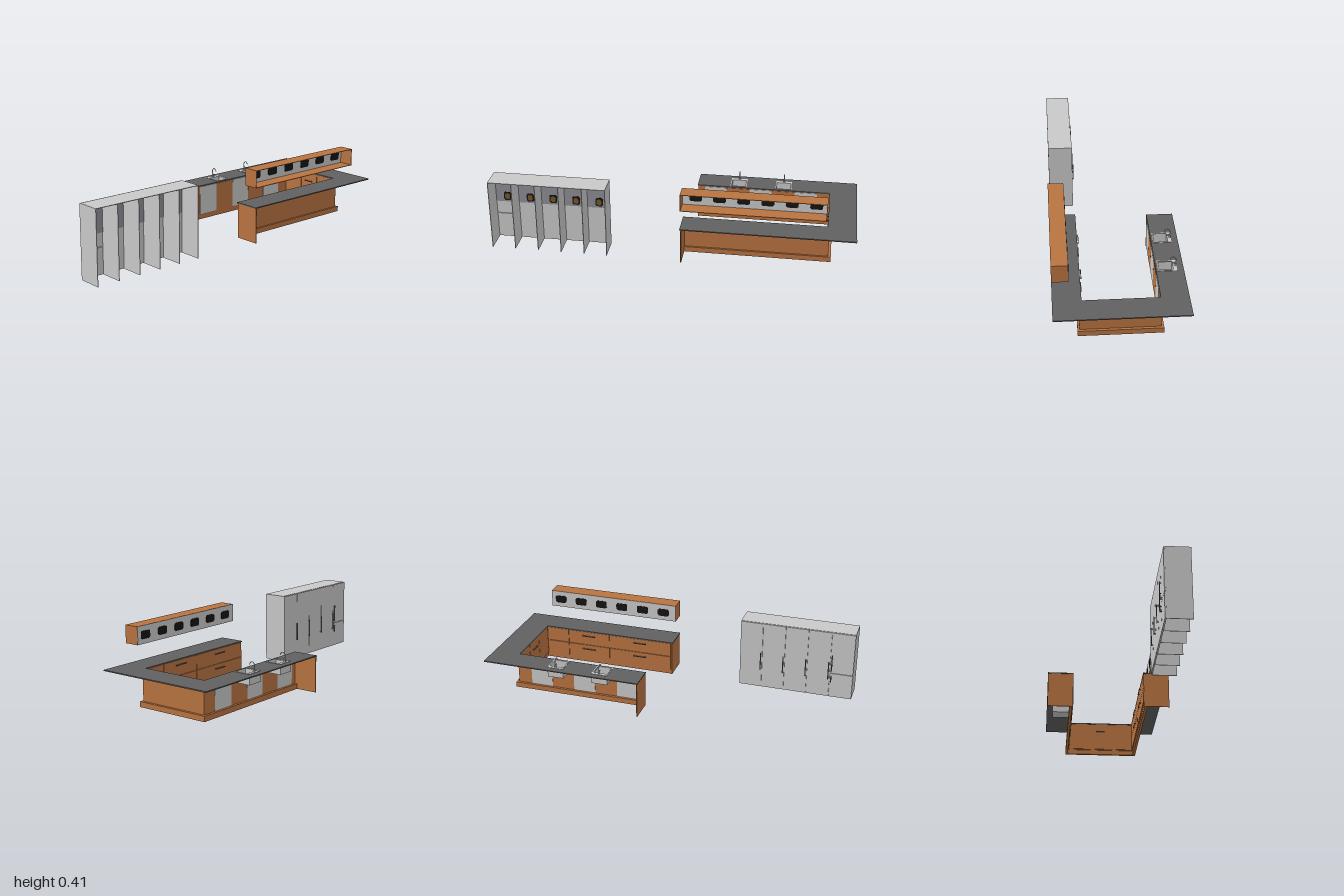
import * as THREE from 'three';

const mat = (name, color) => {
  const m = new THREE.MeshStandardMaterial({ color });
  m.name = name;
  return m;
};

export function createModel() {
  const wood = mat('wood', 0xb87340);
  const stone = mat('darkStone', 0x606060);
  const grey = mat('lightGrey', 0xc9c9c9);
  const band = mat('shadedGrey', 0x8f8d95);
  const black = mat('black', 0x141414);
  const brown = mat('bronze', 0x7a5726);
  const metal = mat('handleMetal', 0x6e6e6e);
  const model = new THREE.Group();

  const group = (name) => {
    const g = new THREE.Group();
    g.name = name;
    model.add(g);
    return g;
  };
  // box given by its limits on each axis
  const box = (parent, name, m, x0, x1, y0, y1, z0, z1) => {
    const mesh = new THREE.Mesh(new THREE.BoxGeometry(x1 - x0, y1 - y0, z1 - z0), m);
    mesh.position.set((x0 + x1) / 2, (y0 + y1) / 2, (z0 + z1) / 2);
    mesh.name = name;
    parent.add(mesh);
    return mesh;
  };
  // flat plate with clipped corners, centred on x, y
  const plate = (parent, name, m, x, y, z, w, h, depth) => {
    const a = w / 2, b = h / 2, c = 0.008;
    const s = new THREE.Shape([[-a + c, -b], [a - c, -b], [a, -b + c], [a, b - c], [a - c, b],
      [-a + c, b], [-a, b - c], [-a, -b + c]].map((p) => new THREE.Vector2(...p)));
    const mesh = new THREE.Mesh(new THREE.ExtrudeGeometry(s, { depth, bevelEnabled: false }), m);
    mesh.position.set(x, y, z);
    mesh.name = name;
    parent.add(mesh);
  };
  // bar handle with two posts on a face looking towards -z
  const handle = (parent, x, y, z, length, upright) => {
    const h = new THREE.Group();
    h.name = 'handle';
    h.position.set(x, y, z);
    if (!upright) h.rotation.z = Math.PI / 2;
    const l = length / 2;
    box(h, 'handleBar', metal, -0.003, 0.003, -l, l, -0.01, -0.006);
    for (const s of [-1, 1]) {
      const c = s * (l - 0.006);
      box(h, 'handlePost', metal, -0.002, 0.002, c - 0.002, c + 0.002, -0.007, 0);
    }
    parent.add(h);
  };

  // tall cabinet bank: doors towards -z, open towards +z
  const tall = group('tallCabinets');
  const bay = 0.13;
  box(tall, 'cabinetTop', grey, -1, -0.35, 0.402, 0.405, 0.204, 0.335);
  box(tall, 'backBand', band, -0.999, -0.351, 0.23, 0.375, 0.204, 0.207);
  for (let i = 0; i <= 5; i++) {
    const x = Math.min(-1 + i * bay, -0.353);
    box(tall, 'divider', grey, x, x + 0.003, 0.005, 0.402, 0.204, 0.335);
  }
  for (let i = 0; i < 5; i++) {
    const x0 = -1 + i * bay + 0.0012, x1 = x0 + bay - 0.0024;
    if (i === 0) {
      box(tall, 'lowerDoor', grey, x0, x1, 0.008, 0.153, 0.197, 0.205);
      box(tall, 'upperDoor', grey, x0, x1, 0.156, 0.403, 0.197, 0.205);
      handle(tall, x1 - 0.008, 0.22, 0.197, 0.1, true);
      handle(tall, x1 - 0.008, 0.12, 0.197, 0.04, true);
    } else {
      box(tall, 'door', grey, x0, x1, 0.008, 0.403, 0.197, 0.205);
      handle(tall, x0 + 0.007, 0.17, 0.197, 0.104, true);
    }
    const c = x0 + bay / 2 + 0.003;
    plate(tall, 'badgeBack', black, c, 0.265, 0.207, 0.042, 0.05, 0.002);
    plate(tall, 'badgeFace', brown, c, 0.265, 0.209, 0.028, 0.036, 0.002);
  }

  // U-shaped worktop with two sink openings
  const counter = group('counter');
  const sinks = [0.32, 0.58];
  const top = new THREE.Shape([[0.055, -0.345], [1, -0.345], [1, 0.345], [0.085, 0.345], [0.085, 0.2],
    [0.845, 0.2], [0.845, -0.197], [0.055, -0.197]].map((p) => new THREE.Vector2(...p)));
  for (const x of sinks) {
    top.holes.push(new THREE.Path([[-0.04, 0.215], [-0.04, 0.292], [0.04, 0.292], [0.04, 0.215]]
      .map((p) => new THREE.Vector2(x + p[0], p[1]))));
  }
  const topGeo = new THREE.ExtrudeGeometry(top, { depth: 0.006, bevelEnabled: false }).rotateX(-Math.PI / 2);
  const worktop = new THREE.Mesh(topGeo, stone);
  worktop.position.y = 0.2;
  worktop.name = 'worktop';
  counter.add(worktop);

  // thin cabinet walls, plinths and end panels
  box(counter, 'frontWall', wood, 0.06, 0.856, 0.028, 0.2, 0.203, 0.21);
  box(counter, 'sideWall', wood, 0.85, 0.856, 0.028, 0.2, -0.205, 0.21);
  box(counter, 'backWall', wood, 0.09, 0.856, 0.028, 0.2, -0.206, -0.2);
  box(counter, 'frontPlinth', wood, 0.06, 0.871, 0, 0.03, 0.205, 0.22);
  box(counter, 'sidePlinth', wood, 0.856, 0.871, 0, 0.03, -0.22, 0.22);
  box(counter, 'backPlinth', wood, 0.09, 0.871, 0, 0.03, -0.22, -0.205);
  box(counter, 'frontEndPanel', wood, 0.06, 0.065, 0, 0.2, 0.2, 0.344);
  box(counter, 'backEndPanel', wood, 0.088, 0.093, 0, 0.2, -0.344, -0.2);

  // drawers on the inner face of the front arm
  for (const [x0, x1] of [[0.066, 0.45], [0.45, 0.71], [0.71, 0.845]]) {
    for (const [y0, y1] of [[0.03, 0.115], [0.115, 0.2]]) {
      box(counter, 'drawerFront', wood, x0 + 0.0015, x1 - 0.0015, y0 + 0.0015, y1 - 0.0015, 0.198, 0.203);
      if (x1 < 0.8) handle(counter, (x0 + x1) / 2, y1 - 0.025, 0.198, 0.08, false);
    }
  }
  // drawers on the inner face of the side arm
  const side = new THREE.Group();
  side.name = 'sideDrawers';
  side.rotation.y = Math.PI / 2;
  side.position.x = 0.85;
  for (let i = 0; i < 3; i++) {
    const x0 = -0.195 + i * 0.13;
    box(side, 'drawerFront', wood, x0 + 0.0015, x0 + 0.1285, 0.032, 0.199, -0.004, 0);
  }
  handle(side, 0, 0.15, -0.003, 0.06, false);
  counter.add(side);

  // grey appliances set into the back arm, on both faces
  for (const x of [0.126, 0.386, 0.646]) {
    box(counter, 'appliance', grey, x, x + 0.128, 0.031, 0.199, -0.208, -0.197);
    handle(counter, x + 0.064, 0.185, -0.197, 0.001, false);
  }
  for (const x of [0.256, 0.516]) {
    box(counter, 'sinkCabinetDoor', wood, x, x + 0.128, 0.032, 0.199, -0.2, -0.197);
  }

  // sinks and taps
  for (const x of sinks) {
    const g = group('sink');
    g.position.x = x;
    box(g, 'sinkFloor', grey, -0.046, 0.046, 0.15, 0.153, -0.31, -0.21);
    for (const s of [-1, 1]) {
      box(g, 'sinkSide', grey, s * 0.043 - 0.003, s * 0.043 + 0.003, 0.153, 0.208, -0.31, -0.21);
    }
    box(g, 'sinkNearWall', grey, -0.04, 0.04, 0.153, 0.208, -0.216, -0.21);
    box(g, 'sinkTapLedge', grey, -0.04, 0.04, 0.153, 0.208, -0.31, -0.29);
    const body = new THREE.Mesh(new THREE.CylinderGeometry(0.004, 0.006, 0.022, 12), grey);
    body.position.set(0, 0.217, -0.303);
    body.name = 'tapBody';
    g.add(body);
    const path = new THREE.CatmullRomCurve3([[0.225, -0.303], [0.24, -0.307], [0.254, -0.303], [0.261, -0.292],
      [0.256, -0.28], [0.245, -0.275]].map(([y, z]) => new THREE.Vector3(0, y, z)));
    const spout = new THREE.Mesh(new THREE.TubeGeometry(path, 24, 0.0022, 8), grey);
    spout.name = 'tapSpout';
    g.add(spout);
    const lever = box(g, 'tapLever', grey, -0.002, 0.002, 0.222, 0.226, -0.301, -0.284);
    lever.rotation.x = 0.15;
  }

  // hanging sign box, open towards +z
  const sign = group('hangingSign');
  box(sign, 'signTop', wood, 0.057, 0.835, 0.411, 0.414, 0.26, 0.345);
  box(sign, 'signBottom', wood, 0.057, 0.835, 0.316, 0.319, 0.26, 0.345);
  for (const x of [0.057, 0.832]) box(sign, 'signEnd', wood, x, x + 0.003, 0.319, 0.411, 0.26, 0.345);
  box(sign, 'signPanel', grey, 0.058, 0.834, 0.317, 0.413, 0.259, 0.264);
  for (let i = 0; i < 6; i++) {
    for (const z of [0.257, 0.264]) {
      plate(sign, 'signPlate', black, 0.132 + i * 0.129, 0.364, z, 0.068, 0.044, 0.002);
    }
  }
  return model;
}
